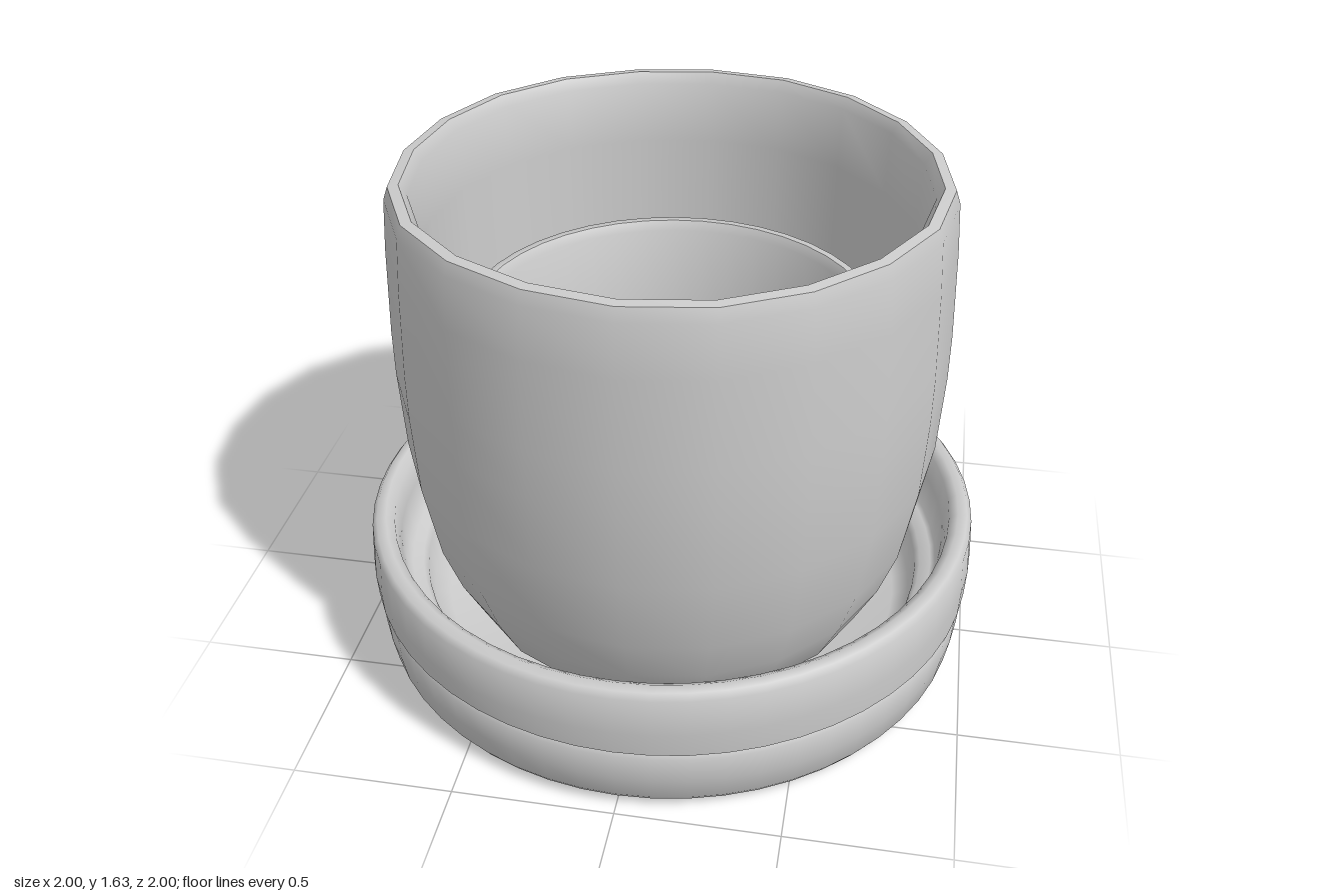
import * as THREE from 'three';
import { toCreasedNormals } from 'three/addons/utils/BufferGeometryUtils.js';

const material = new THREE.MeshStandardMaterial({ color: 0xcccccc });

function addMesh(group, name, geometry) {
  const mesh = new THREE.Mesh(geometry, material);
  mesh.name = name;
  group.add(mesh);
  return mesh;
}

// Spin a [radius, y] profile, optionally moving its points by a rule.
function turned(profile, sides, rule) {
  const geometry = new THREE.LatheGeometry(profile.map(([r, y]) => new THREE.Vector2(r, y)), sides);
  if (rule) {
    const pos = geometry.attributes.position;
    const v = new THREE.Vector3();
    for (let i = 0; i < pos.count; i++) {
      rule(v.fromBufferAttribute(pos, i));
      pos.setXYZ(i, v.x, v.y, v.z);
    }
  }
  return toCreasedNormals(geometry, 0.95);
}

// Pull a circle out to a square with softened corners.
function squared(v) {
  const r = Math.hypot(v.x, v.z);
  if (r < 1e-6) return;
  const k = 1 / Math.pow(Math.pow(Math.abs(v.x / r), 14) + Math.pow(Math.abs(v.z / r), 14), 1 / 14);
  v.x *= k;
  v.z *= k;
}

// Slight hand-made unevenness, stronger toward the rim.
function handMade(v) {
  const a = Math.atan2(v.z, v.x);
  const k = 1 + 0.005 * Math.sin(5 * a + 1) * Math.min(1, v.y);
  v.x *= k;
  v.z *= k;
}

export function createModel() {
  const model = new THREE.Group();
  model.name = 'plantPot';

  // Saucer: concave underside, stepped outer band, rounded rim and an inner ledge
  addMesh(model, 'saucer', turned([
    [0, 0.1], [0.2, 0.095], [0.4, 0.075], [0.53, 0.035], [0.55, 0.03], [0.955, 0.03], [0.968, 0.05],
    [0.982, 0.13], [0.988, 0.225], [0.978, 0.24], [0.994, 0.25], [0.998, 0.33], [0.99, 0.455],
    [0.975, 0.475], [0.945, 0.478], [0.918, 0.46], [0.905, 0.38], [0.89, 0.28],
    [0.875, 0.272], [0.84, 0.265], [0.825, 0.245], [0.81, 0.15], [0.76, 0.12], [0, 0.12],
  ], 56, (v) => { if (v.y > 0.3) v.y += 0.011 * v.x; }));

  // Small feet under the saucer
  [[-0.82, 0], [0.27, 0.79], [0.27, -0.71]].forEach(([x, z]) => {
    const foot = addMesh(model, 'foot', new THREE.SphereGeometry(1, 10, 6));
    foot.scale.set(0.06, 0.03, 0.06);
    foot.position.set(x, 0.03, z);
  });

  // Outer pot: bulging wall, thick rim, hollow inside
  addMesh(model, 'outerPot', turned([
    [0, 0.12], [0.62, 0.12], [0.67, 0.17], [0.745, 0.32], [0.8, 0.48], [0.845, 0.74],
    [0.857, 1.0], [0.857, 1.15], [0.847, 1.43], [0.836, 1.59], [0.822, 1.63], [0.79, 1.634],
    [0.768, 1.6], [0.76, 1.4], [0.755, 1.1], [0.74, 0.72], [0.68, 0.42], [0.6, 0.25], [0, 0.22],
  ], 20, handMade));

  // Round cup nested in the pot
  addMesh(model, 'innerCup', turned([
    [0, 0.24], [0.5, 0.24], [0.58, 0.45], [0.64, 0.8], [0.663, 1.1], [0.662, 1.14],
    [0.645, 1.16], [0.622, 1.16], [0.605, 1.13], [0.585, 0.8], [0.54, 0.5], [0.46, 0.34], [0, 0.32],
  ], 40));

  // Square tapered tray nested in the cup
  const tray = addMesh(model, 'squareTray', turned([
    [0, 0.34], [0.3, 0.34], [0.42, 0.55], [0.468, 0.78], [0.47, 0.83], [0.455, 0.855],
    [0.43, 0.862], [0.405, 0.855], [0.388, 0.83], [0.37, 0.78], [0.28, 0.56], [0.2, 0.44],
    [0.1, 0.41], [0, 0.405],
  ], 64, squared));
  tray.position.set(-0.005, 0, -0.005);

  // Thin ring set in the sloping tray
  const ring = addMesh(model, 'innerRing', turned([
    [0.25, 0.46], [0.275, 0.46], [0.285, 0.56], [0.278, 0.58], [0.265, 0.58], [0.255, 0.56], [0.25, 0.46],
  ], 40));
  ring.position.set(-0.005, 0, 0.012);

  return model;
}
